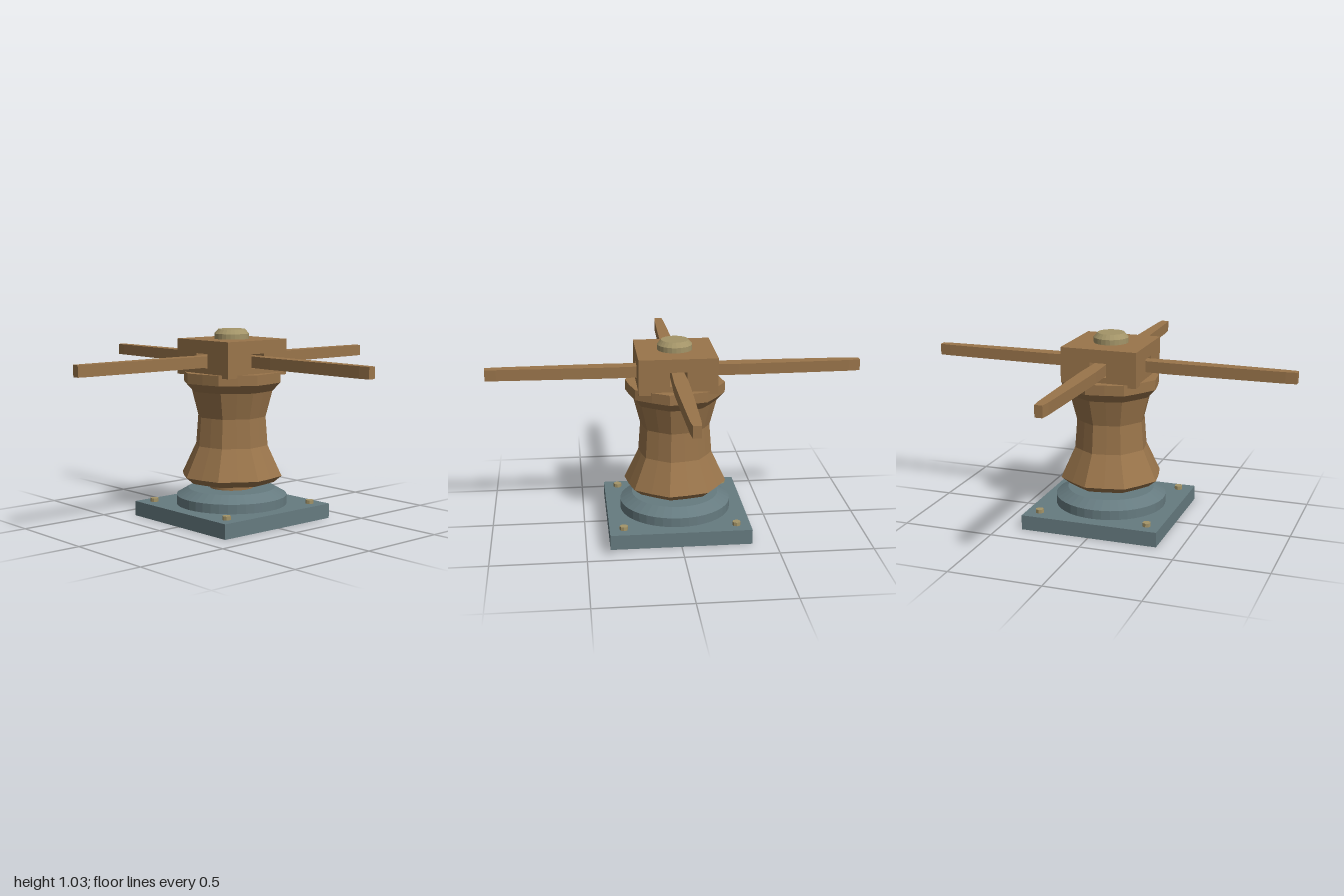
import * as THREE from 'three';

const material = (name, color) => {
  const m = new THREE.MeshStandardMaterial({ color });
  m.name = name;
  return m;
};

export function createModel() {
  const group = new THREE.Group();
  group.name = 'capstan';
  const wood = material('wood', 0x9a754b);
  const steel = material('blueGreySteel', 0x667b80);
  const brass = material('dullBrass', 0xa39468);

  const add = (name, geometry, mat, x = 0, y = 0, z = 0) => {
    const mesh = new THREE.Mesh(geometry, mat);
    mesh.name = name;
    mesh.position.set(x, y, z);
    group.add(mesh);
    return mesh;
  };
  const box = (name, mat, w, h, d, x, y, z) =>
    add(name, new THREE.BoxGeometry(w, h, d), mat, x, y, z);
  const faceted = (geometry) => {
    const g = geometry.toNonIndexed();
    g.computeVertexNormals();
    return g;
  };
  // Profile of [radius, height] pairs, turned about the y axis
  const turned = (profile, sides, start = 0) =>
    new THREE.LatheGeometry(profile.map(([r, y]) => new THREE.Vector2(r, y)), sides, start);

  // Square base plate, stepped collar and corner bolts
  box('basePlate', steel, 0.75, 0.08, 0.75, 0, 0.04, 0);
  add('collar', faceted(turned(
    [[0.3, 0.08], [0.3, 0.13], [0.235, 0.168], [0, 0.168]], 40)), steel);
  for (const x of [-0.3, 0.3]) {
    for (const z of [-0.3, 0.3]) {
      add('baseBolt', faceted(new THREE.CylinderGeometry(0.022, 0.022, 0.022, 8)), brass, x, 0.089, z);
    }
  }

  // Spindle between collar and drum
  add('spindle', new THREE.CylinderGeometry(0.12, 0.12, 0.06, 24), wood, 0, 0.19, 0);

  // Waisted drum: sixteen sides, every second edge drawn in
  const drum = turned([[0, 0.205], [0.235, 0.205], [0.278, 0.24], [0.2, 0.405], [0.188, 0.56],
    [0.225, 0.7], [0.268, 0.745], [0.268, 0.8], [0, 0.8]], 16, -Math.PI / 16);
  const p = drum.attributes.position;
  const ringSize = p.count / 17;
  for (let i = 0; i < p.count; i++) {
    const k = Math.floor(i / ringSize) % 2 ? 0.94 : 1;
    p.setX(i, p.getX(i) * k);
    p.setZ(i, p.getZ(i) * k);
  }
  add('drum', faceted(drum), wood);

  // Square head: two slabs and four corner blocks leave crossing bar sockets
  const half = 0.207, socket = 0.045, low = 0.83, high = 0.905;
  box('headLower', wood, half * 2, low - 0.785, half * 2, 0, (low + 0.785) / 2, 0);
  box('headUpper', wood, half * 2, 0.975 - high, half * 2, 0, (0.975 + high) / 2, 0);
  const block = half - socket, mid = (half + socket) / 2;
  for (const x of [-mid, mid]) {
    for (const z of [-mid, mid]) {
      box('headCorner', wood, block, high - low, block, x, (low + high) / 2, z);
    }
  }

  // Four tapering push bars
  const plan = [[0.04, 0.03], [0.2, 0.034], [0.34, 0.038], [0.6, 0.034], [0.94, 0.026], [1, 0.02]];
  const outline = [...plan.map(([x, w]) => [x, -w]), ...plan.map(([x, w]) => [x, w]).reverse()];
  const bar = new THREE.ExtrudeGeometry(
    new THREE.Shape(outline.map(([x, y]) => new THREE.Vector2(x, y))),
    { depth: 0.06, bevelEnabled: false });
  bar.rotateX(-Math.PI / 2);
  for (let i = 0; i < 4; i++) {
    add('pushBar', bar, wood, 0, 0.833, 0).rotation.y = i * Math.PI / 2;
  }

  // Bevelled cap on top
  add('cap', faceted(turned(
    [[0.093, 0.97], [0.093, 1.003], [0.072, 1.027], [0, 1.027]], 24)), brass);

  return group;
}
